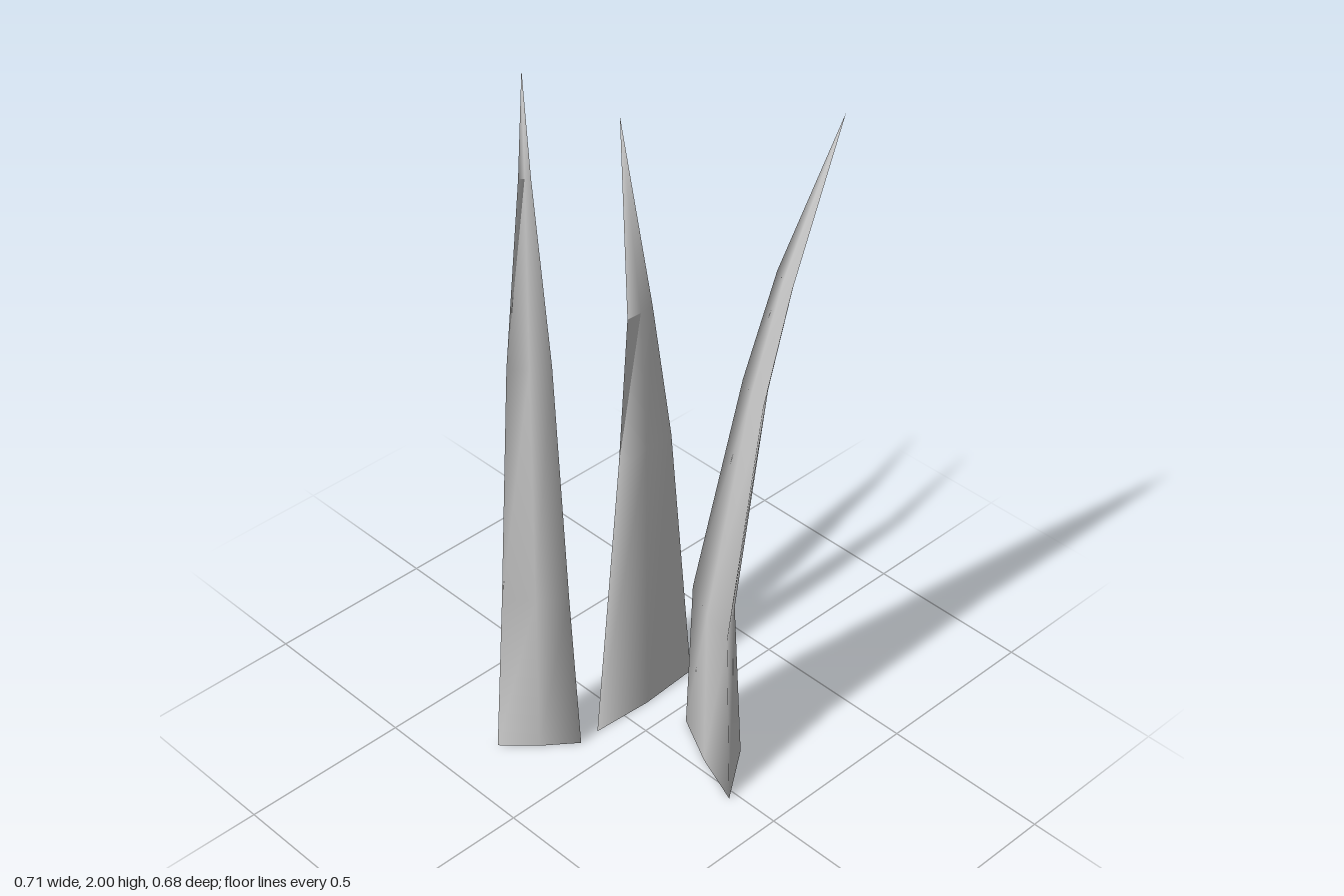
import * as THREE from 'three';

// Each section: [y, left edge x, z, right edge x, z]; the blade closes in a tip.
const BLADES = [
  {
    name: 'tallBlade',
    sections: [
      [0, 0.05, -0.11, 0.355, 0.025],
      [0.53, 0.09, -0.09, 0.312, 0.003],
      [1.23, 0.185, -0.165, 0.31, -0.11],
      [1.56, 0.24, -0.22, 0.327, -0.182],
    ],
    tip: [0.335, 2, -0.34],
  },
  {
    name: 'shortBlade',
    sections: [
      [0, -0.093, 0.1, -0.093, -0.27],
      [0.9, -0.09, 0.012, -0.09, -0.182],
      [1.33, -0.107, -0.038, -0.107, -0.128],
    ],
    tip: [-0.178, 1.88, -0.083],
  },
  {
    name: 'curvedBlade',
    sections: [
      [0, -0.245, 0.34, -0.09, 0.165],
      [0.53, -0.225, 0.32, -0.105, 0.185],
      [1.23, -0.265, 0.24, -0.19, 0.15],
      [1.74, -0.305, 0.145, -0.285, 0.12],
    ],
    tip: [-0.358, 2, 0.077],
  },
];

// Kite cross-section: left edge, faintly bulged face, right edge, rear ridge
function kite([y, lx, lz, rx, rz]) {
  const mx = (lx + rx) / 2, mz = (lz + rz) / 2;
  const nx = rz - lz, nz = lx - rx;
  return [
    [lx, y, lz],
    [mx - nx * 0.03, y, mz - nz * 0.03],
    [rx, y, rz],
    [mx + nx * 0.3, y, mz + nz * 0.3],
  ];
}

function makeMesh(points, index, name, material) {
  const geometry = new THREE.BufferGeometry();
  geometry.setAttribute('position', new THREE.Float32BufferAttribute(points.flat(), 3));
  geometry.setIndex(index);
  geometry.computeVertexNormals();
  const mesh = new THREE.Mesh(geometry, material);
  mesh.name = name;
  return mesh;
}

function makeBlade({ name, sections, tip }, material) {
  const rings = sections.map(kite);
  const index = [];
  const last = rings.length - 1;
  const tipIndex = rings.length * 4;
  for (let r = 0; r <= last; r++) {
    for (let i = 0; i < 4; i++) {
      const a = r * 4 + i, b = r * 4 + (i + 1) % 4;
      if (r === last) index.push(a, b, tipIndex);
      else index.push(a, b, b + 4, a, b + 4, a + 4);
    }
  }
  const blade = new THREE.Group();
  blade.name = name;
  // Smooth sides and a separate flat base
  blade.add(makeMesh([...rings.flat(), tip], index, 'bladeSides', material));
  blade.add(makeMesh(rings[0], [0, 3, 1, 1, 3, 2], 'bladeBase', material));
  return blade;
}

export function createModel() {
  const group = new THREE.Group();
  group.name = 'grassTuft';
  const material = new THREE.MeshStandardMaterial({ color: 0xcccccc });
  for (const blade of BLADES) group.add(makeBlade(blade, material));
  return group;
}
